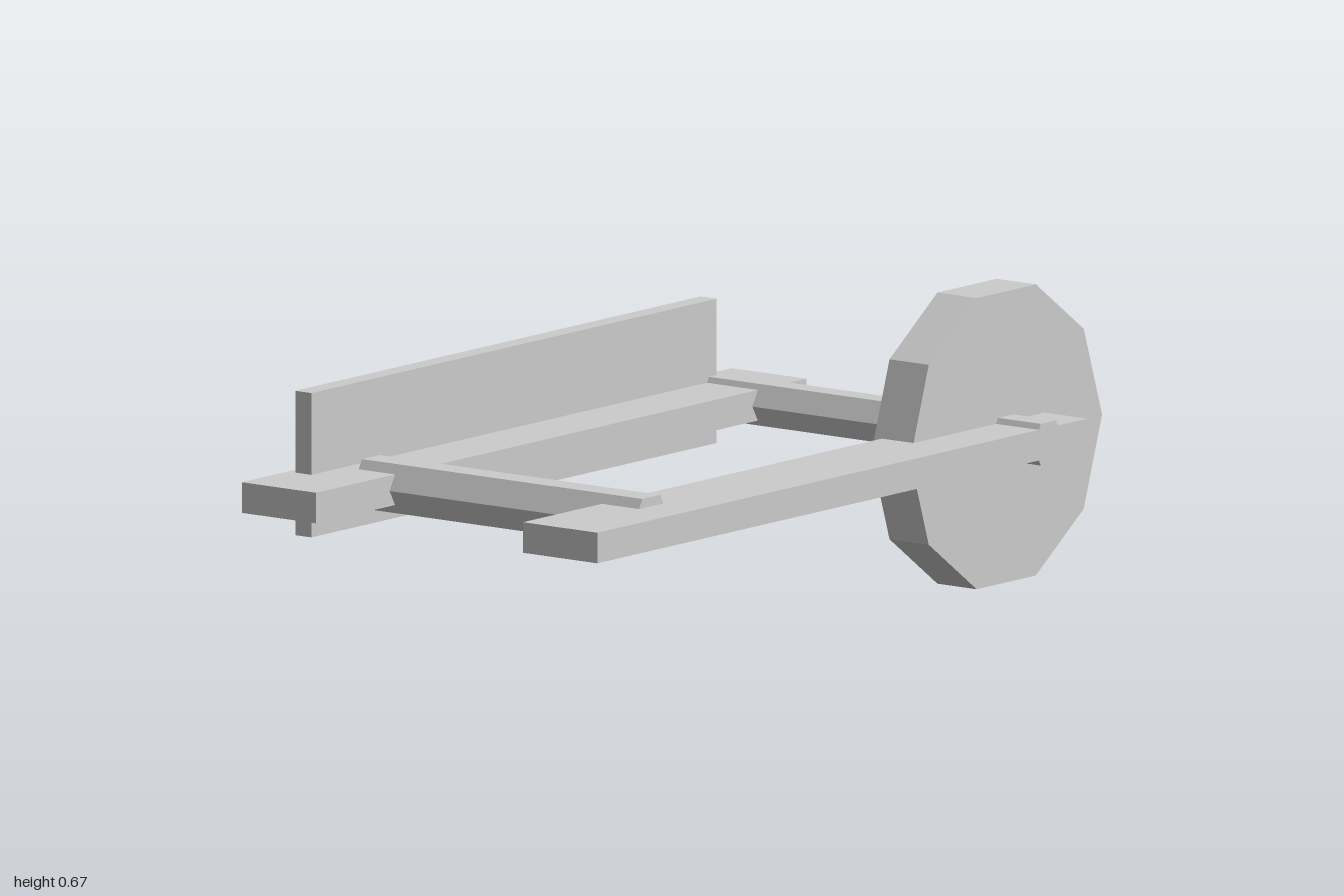
import * as THREE from 'three';

export function createModel() {
  const model = new THREE.Group();
  const grey = new THREE.MeshStandardMaterial({ color: 0xcccccc });
  grey.name = 'plain grey';
  const axleY = 0.338;

  function add(name, geometry, x, y, z) {
    const mesh = new THREE.Mesh(geometry, grey);
    mesh.name = name;
    mesh.position.set(x, y, z);
    model.add(mesh);
  }

  // Low-poly prism lying along x, with corners pointing along z
  function prism(radius, length, sides) {
    const geometry = new THREE.CylinderGeometry(radius, radius, length, sides).rotateZ(Math.PI / 2);
    const flat = geometry.toNonIndexed();
    flat.computeVertexNormals();
    return flat;
  }

  // Two long side rails
  add('leftRail', new THREE.BoxGeometry(0.212, 0.07, 1.79), 0.4, axleY, 0.105);
  add('rightRail', new THREE.BoxGeometry(0.212, 0.07, 1.79), -0.402, axleY, 0.105);

  // Hexagonal cross bars
  add('frontCrossBar', prism(0.065, 0.8, 6), 0, axleY, 0.667);
  add('rearAxle', prism(0.055, 1.015, 6), -0.002, axleY, -0.648);

  // Ten-sided wheel on the rear axle
  add('wheel', prism(0.35, 0.112, 10), 0.328, axleY, -0.65);

  // Upright board along the right rail
  add('sideBoard', new THREE.BoxGeometry(0.046, 0.33, 1.48), -0.464, 0.395, 0.092);

  return model;
}
